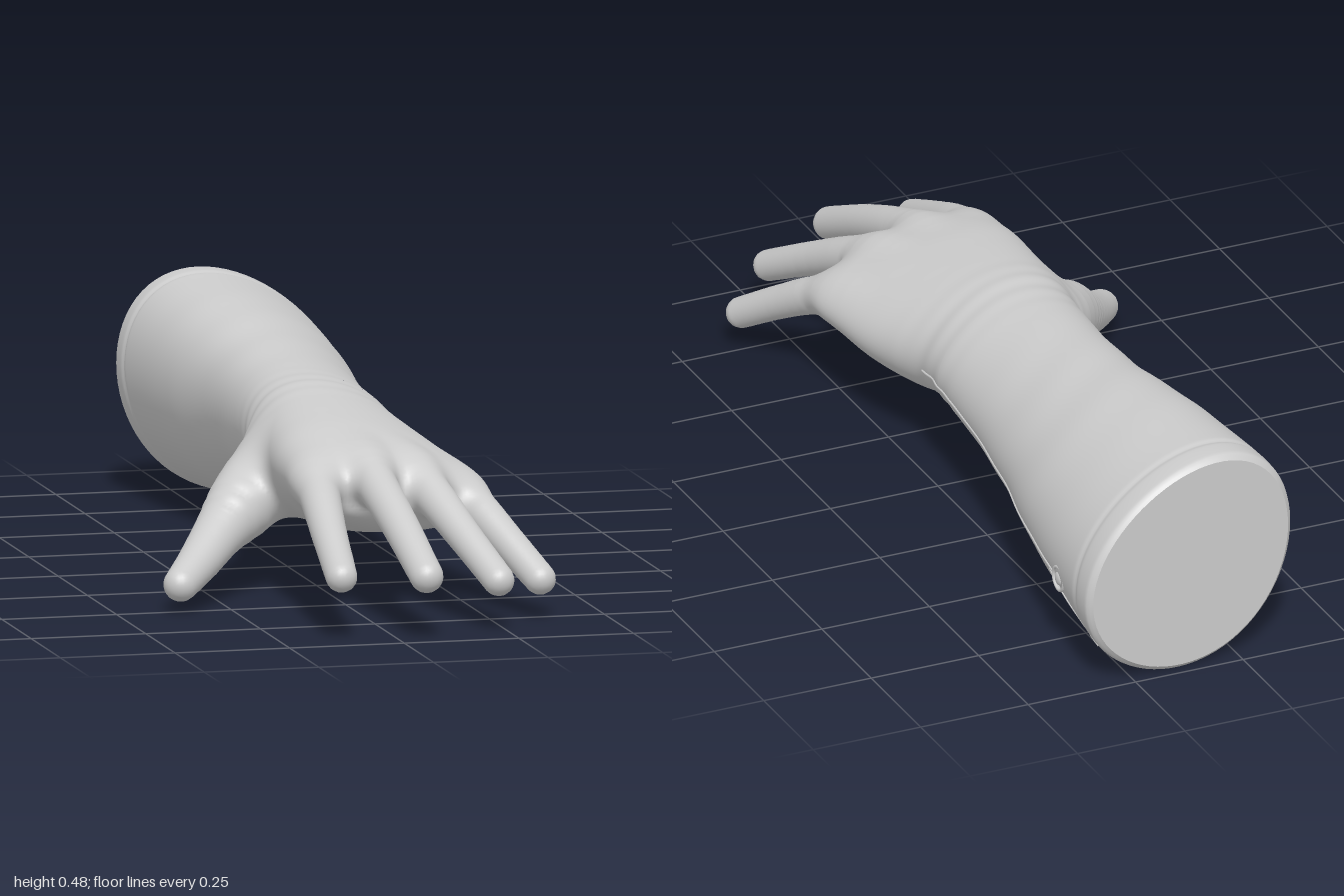
import * as THREE from 'three';

const material = new THREE.MeshStandardMaterial({ color: 0xcccccc });
const { smoothstep, lerp, clamp } = THREE.MathUtils;
const SIDES = 72;

// Arm and palm outline: z, xMin, xMax, yMin, yMax, skew
const SECTIONS = [
  [-0.985, -0.118, 0.348, 0.012, 0.470, -0.28],
  [-0.970, -0.130, 0.360, 0.000, 0.482, -0.28],
  [-0.850, -0.127, 0.350, 0.015, 0.477, -0.28],
  [-0.600, -0.108, 0.317, 0.045, 0.460, -0.28],
  [-0.400, -0.083, 0.282, 0.085, 0.437, -0.28],
  [-0.200, -0.080, 0.257, 0.110, 0.420, -0.26],
  [0.000, -0.093, 0.247, 0.130, 0.411, -0.24],
  [0.100, -0.105, 0.242, 0.125, 0.408, -0.24],
  [0.200, -0.118, 0.268, 0.115, 0.397, -0.30],
  [0.300, -0.125, 0.292, 0.120, 0.386, -0.38],
  [0.400, -0.130, 0.306, 0.135, 0.373, -0.44],
  [0.500, -0.128, 0.316, 0.152, 0.351, -0.48],
  [0.640, -0.130, 0.328, 0.165, 0.310, -0.48],
];

// Digit centre lines: x, y, z, radius
const DIGITS = {
  thumb: [[-0.01, 0.27, 0.07, 0.05], [-0.085, 0.235, 0.175, 0.08], [-0.165, 0.19, 0.275, 0.076],
    [-0.235, 0.143, 0.348, 0.056], [-0.305, 0.093, 0.435, 0.045], [-0.362, 0.06, 0.507, 0.037]],
  index: [[-0.05, 0.27, 0.4, 0.045], [-0.074, 0.277, 0.53, 0.049], [-0.09, 0.25, 0.64, 0.043],
    [-0.105, 0.2, 0.77, 0.038], [-0.118, 0.135, 0.926, 0.034]],
  middle: [[0.03, 0.29, 0.4, 0.045], [0.033, 0.296, 0.53, 0.05], [0.037, 0.266, 0.65, 0.043],
    [0.046, 0.21, 0.8, 0.039], [0.058, 0.135, 0.964, 0.036]],
  ring: [[0.1, 0.28, 0.38, 0.045], [0.138, 0.278, 0.51, 0.049], [0.162, 0.245, 0.61, 0.043],
    [0.195, 0.18, 0.75, 0.037], [0.234, 0.107, 0.89, 0.034]],
  little: [[0.19, 0.24, 0.3, 0.04], [0.24, 0.232, 0.44, 0.048], [0.274, 0.203, 0.55, 0.042],
    [0.312, 0.15, 0.65, 0.037], [0.358, 0.083, 0.758, 0.034]],
};

// Smooth interpolation of the outline at any z
function sectionAt(z) {
  const last = SECTIONS.length - 1;
  let i = 0;
  while (i < last - 1 && z > SECTIONS[i + 1][0]) i++;
  const row = (k) => SECTIONS[clamp(k, 0, last)];
  const [p, a, b, n] = [row(i - 1), row(i), row(i + 1), row(i + 2)];
  const h = b[0] - a[0], u = (z - a[0]) / h;
  const [, x0, x1, y0, y1, skew] = a.map((v, k) => {
    const ma = (b[k] - p[k]) / (b[0] - p[0]) * h;
    const mb = (n[k] - a[k]) / (n[0] - a[0]) * h;
    const d = b[k] - v;
    return v + u * (ma + u * (3 * d - 2 * ma - mb + u * (ma + mb - 2 * d)));
  });
  return { cx: (x0 + x1) / 2, cy: (y0 + y1) / 2, rx: (x1 - x0) / 2, ry: (y1 - y0) / 2, skew };
}

const bump = (v, width) => Math.exp(-((v / width) ** 2));
const lean = (skew, t) => skew * (0.65 + 0.35 * Math.sin(t));

// Cuff groove, sleeve creases and wrist folds
function foldScale(z, t) {
  const low = Math.max(0, -Math.sin(t));
  return 1 - 0.016 * bump(z + 0.91 - 0.03 * low, 0.008)
    + 0.009 * bump(z - 0.06, 0.09) * Math.sin(z * 90 + 1.6 * Math.sin(t + 0.6) + 0.8 * Math.sin(3 * t))
    + 0.006 * bump(z + 0.4, 0.3) * Math.sin(z * 32 + 2.2 * Math.sin(2 * t));
}

// Point on the sleeve at z and angle t, with a slanted cuff edge
function armPoint(z, t) {
  const s = sectionAt(z), f = foldScale(z, t);
  const x = s.cx + s.rx * f * Math.cos(t);
  const y = s.cy + s.ry * f * Math.sin(t + lean(s.skew, t));
  return new THREE.Vector3(x, y, z - 0.06 * (x - 0.115) * smoothstep(-z, 0.5, 0.98));
}

// Distance to the palm: the same outline, ending in rounded knuckles
function palmDistance(x, y, z) {
  const zc = Math.min(z, 0.64), s = sectionAt(zc);
  const X = (x - s.cx) / s.rx, Y = (y - s.cy) / s.ry;
  let t = Math.atan2(Y, X), r = 1;
  for (let i = 0; i < 4; i++) {
    const a = lean(s.skew, t), v = (Y - X * Math.sin(a)) / Math.cos(a);
    t = Math.atan2(v, X);
    r = Math.hypot(X, v) + 1e-5;
  }
  const side = (r - foldScale(zc, t)) * Math.hypot(x - s.cx, y - s.cy) / r;
  const end = z - 0.605 + 0.32 * Math.max(0, x - 0.1);
  return -smoothMin(-side, -end, 0.09);
}

function smoothMin(a, b, k) {
  const h = Math.max(0, k - Math.abs(a - b)) / k;
  return Math.min(a, b) - h * h * k / 4;
}

// Chain of round tapered links along a digit
function digitLinks(points) {
  const curve = new THREE.CatmullRomCurve3(points.map((p) => new THREE.Vector3(p[0], p[1], p[2])));
  const radii = new THREE.CatmullRomCurve3(points.map((p, i) => new THREE.Vector3(i, p[3], 0)));
  return Array.from({ length: 15 }, (_, i) => ({ p: curve.getPoint(i / 14), r: radii.getPoint(i / 14).y }));
}

function digitDistance(links, x, y, z) {
  let best = Infinity;
  for (let i = 0; i < links.length - 1; i++) {
    const a = links[i], b = links[i + 1];
    const dx = b.p.x - a.p.x, dy = b.p.y - a.p.y, dz = b.p.z - a.p.z;
    const px = x - a.p.x, py = y - a.p.y, pz = z - a.p.z;
    const u = clamp((px * dx + py * dy + pz * dz) / (dx * dx + dy * dy + dz * dz), 0, 1);
    best = Math.min(best, Math.hypot(px - u * dx, py - u * dy, pz - u * dz) - lerp(a.r, b.r, u));
  }
  return best;
}

// Skin where the distance function is zero, one vertex per crossed grid cell
function skinGeometry(distance, min, max, cell) {
  const size = min.map((v, a) => Math.ceil((max[a] - v) / cell) + 1);
  const step = [1, size[0], size[0] * size[1]];
  const values = new Float32Array(step[2] * size[2]), vertexOf = new Int32Array(values.length);
  const gridOf = (n) => [n % size[0], Math.floor(n / step[1]) % size[1], Math.floor(n / step[2])];
  for (let n = 0; n < values.length; n++) {
    values[n] = distance(...gridOf(n).map((g, a) => min[a] + g * cell));
  }
  const positions = [], normals = [], index = [];
  for (let n = 0; n < values.length; n++) {
    const g = gridOf(n);
    if (g.some((v, a) => v >= size[a] - 1)) continue;
    const sum = [0, 0, 0];
    let count = 0;
    for (let c = 0; c < 8; c++) {
      const bits = [c & 1, c >> 1 & 1, c >> 2];
      const v0 = values[n + bits[0] + bits[1] * step[1] + bits[2] * step[2]];
      for (let a = 0; a < 3; a++) {
        if (bits[a]) continue;
        const v1 = values[n + bits[0] + bits[1] * step[1] + bits[2] * step[2] + step[a]];
        if (v0 < 0 === v1 < 0) continue;
        for (let k = 0; k < 3; k++) sum[k] += bits[k] + (k === a ? v0 / (v0 - v1) : 0);
        count++;
      }
    }
    if (!count) continue;
    vertexOf[n] = positions.length / 3;
    const p = sum.map((v, a) => min[a] + (g[a] + v / count) * cell);
    const slope = new THREE.Vector3(...[0, 1, 2].map((a) => {
      const at = (e) => distance(...p.map((v, k) => (k === a ? v + e : v)));
      return at(0.003) - at(-0.003);
    })).normalize();
    positions.push(...p);
    normals.push(slope.x, slope.y, slope.z);
    for (let a = 0; a < 3; a++) {
      const u = (a + 1) % 3, v = (a + 2) % 3;
      const inside = values[n] < 0;
      if (!g[u] || !g[v] || inside === values[n + step[a]] < 0) continue;
      const q = [n - step[u] - step[v], n - step[v], n, n - step[u]].map((i) => vertexOf[i]);
      if (!inside) q.reverse();
      index.push(q[0], q[1], q[2], q[0], q[2], q[3]);
    }
  }
  const geometry = new THREE.BufferGeometry().setIndex(index);
  geometry.setAttribute('position', new THREE.Float32BufferAttribute(positions, 3));
  geometry.setAttribute('normal', new THREE.Float32BufferAttribute(normals, 3));
  return geometry;
}

// Skin over a list of closed rings, smooth all round
function loft(rings) {
  const index = [];
  for (let i = 0; i < rings.length - 1; i++) {
    for (let j = 0; j < SIDES; j++) {
      const a = i * SIDES + j, b = i * SIDES + (j + 1) % SIDES;
      index.push(a, b, a + SIDES, b, b + SIDES, a + SIDES);
    }
  }
  const geometry = new THREE.BufferGeometry().setFromPoints(rings.flat()).setIndex(index);
  geometry.computeVertexNormals();
  return geometry;
}

export function createModel() {
  const model = new THREE.Group();
  const add = (name, geometry) => {
    const mesh = new THREE.Mesh(geometry, material);
    mesh.name = name;
    model.add(mesh);
    return mesh;
  };

  // Sleeved forearm with a flat cap closing the cuff
  const armRings = Array.from({ length: 181 }, (_, i) => Array.from({ length: SIDES },
    (_, j) => armPoint(-0.985 + 0.99 * i / 180, j / SIDES * Math.PI * 2)));
  add('forearmSleeve', loft(armRings));
  const centre = new THREE.Vector3();
  armRings[0].forEach((p) => centre.addScaledVector(p, 1 / SIDES));
  add('cuffCap', loft([armRings[0].map(() => centre), armRings[0]]));

  // Hand: palm, thumb and fingers blended into one skin
  const [thumb, ...fingers] = Object.values(DIGITS).map(digitLinks);
  const handDistance = (x, y, z) => fingers.reduce(
    (d, finger) => smoothMin(d, digitDistance(finger, x, y, z), 0.035),
    smoothMin(palmDistance(x, y, z), digitDistance(thumb, x, y, z), 0.06));
  add('hand', skinGeometry(handDistance, [-0.42, 0, 0], [0.42, 0.44, 1.02], 0.0085));

  // Fine seams lying on the sleeve; each point is z, angle
  const seam = (name, points) => {
    const path = new THREE.SplineCurve(points.map((p) => new THREE.Vector2(p[0], p[1])));
    const curve = new THREE.CatmullRomCurve3(path.getPoints(40).map((p) => armPoint(p.x, p.y)));
    add(name, new THREE.TubeGeometry(curve, 120, 0.003, 8));
  };
  seam('sideSeam', [[-0.77, -0.17], [-0.4, -0.18], [-0.1, -0.16], [0.1, -0.15]]);
  seam('cuffFlapSeam', [[-0.74, -0.2], [-0.8, -0.4], [-0.86, -0.55], [-0.95, -0.6]]);

  // Low cuff button
  const button = add('cuffButton', new THREE.SphereGeometry(0.015, 20, 12));
  const rim = add('cuffButtonRim', new THREE.TorusGeometry(0.026, 0.004, 8, 28));
  button.scale.x = 0.4;
  rim.rotation.y = Math.PI / 2;
  for (const part of [button, rim]) part.position.copy(armPoint(-0.8, -0.15));

  return model;
}
